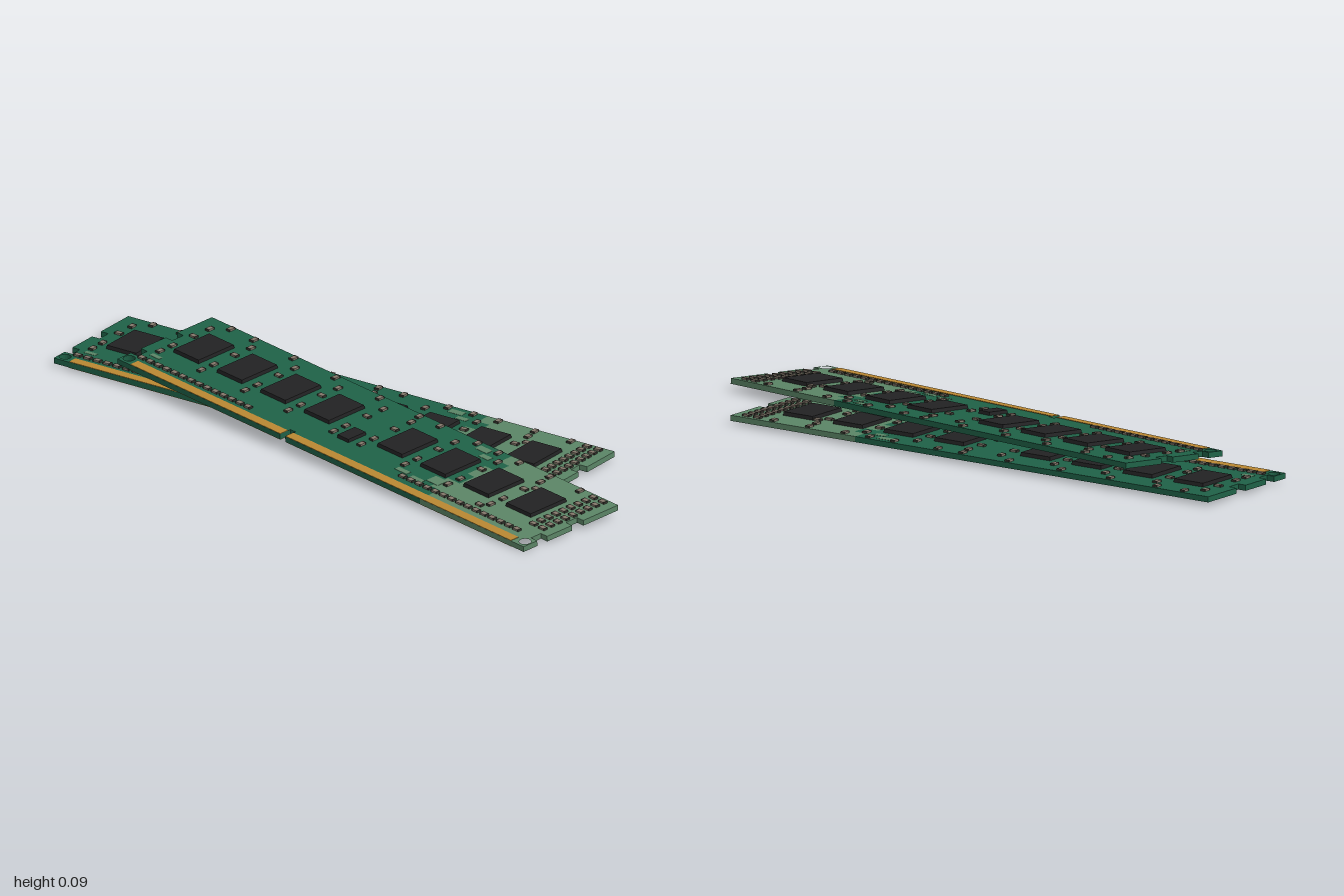
import * as THREE from 'three';
import { mergeGeometries } from 'three/addons/utils/BufferGeometryUtils.js';

const LEN = 1.745, DEP = 0.38, T = 0.017;

const mat = (name, color) => {
  const m = new THREE.MeshStandardMaterial({ color });
  m.name = name;
  return m;
};

// Box centred on (u, v) of the board, rising from height y
const block = (u, v, w, d, h, y = T, taper = 1) => {
  const g = new THREE.BoxGeometry(w, h, d);
  const p = g.attributes.position;
  for (let i = 0; i < p.count; i++) {
    if (p.getY(i) > 0) p.setXYZ(i, p.getX(i) * taper, p.getY(i), p.getZ(i) * taper);
  }
  g.computeVertexNormals();
  return g.translate(u, y + h / 2, v);
};

// Flat slab from an outline in (u, v)
const slab = (points, hole, y = 0, h = T) => {
  const shape = new THREE.Shape(points.map(([u, v]) => new THREE.Vector2(u, v)));
  if (hole) {
    const path = new THREE.Path();
    path.absarc(hole[0], hole[1], 0.018, 0, Math.PI * 2, true);
    shape.holes.push(path);
  }
  const g = new THREE.ExtrudeGeometry(shape, { depth: h, bevelEnabled: false, curveSegments: 10 });
  return g.rotateX(Math.PI / 2).translate(0, y + h, 0);
};

function createStick(name, m) {
  const stick = new THREE.Group();
  stick.name = name;
  const add = (part, geo, material) => {
    const mesh = new THREE.Mesh(Array.isArray(geo) ? mergeGeometries(geo) : geo, material);
    mesh.name = part;
    stick.add(mesh);
  };

  // Board in two greens that meet along a stepped line, with clip notches and holes
  const seam = [[1.29, 0], [1.29, 0.05], [1.33, 0.05], [1.33, 0.1], [1.28, 0.1], [1.28, 0.17],
    [1.31, 0.17], [1.31, 0.23], [1.26, 0.23], [1.26, 0.3], [1.3, 0.3], [1.3, DEP]];
  const side = [[0, DEP], [0, 0.325], [0.027, 0.325], [0.027, 0.285], [0, 0.285],
    [0, 0.185], [0.027, 0.185], [0.027, 0.14], [0, 0.14], [0, 0]];
  const keyNotch = [[0.721, DEP], [0.721, 0.338], [0.699, 0.338], [0.699, DEP]];
  add('boardMain', slab([...seam, ...keyNotch, ...side.slice(0, -1), [0, 0]], [0.022, 0.353]), m.green);
  add('boardEnd', slab([...seam, ...side.map(([u, v]) => [LEN - u, v])], [LEN - 0.022, 0.353]), m.pale);

  // Stray pale patches beside the seam
  add('palePatches', [[1.2, 0.03, 0.05, 0.025], [1.24, 0.06, 0.04, 0.02], [1.25, 0.265, 0.05, 0.04],
    [1.13, 0.29, 0.05, 0.018], [1.2, 0.3, 0.05, 0.02], [0.07, 0.29, 0.04, 0.015]]
    .map(([u, v, w, d]) => block(u, v, w, d, 0.0008)), m.pale);

  // Gold contact strips on both faces, either side of the key notch
  const strips = [];
  for (const [a, b] of [[0.055, 0.699], [0.721, 1.69]]) {
    for (const y of [T, -0.0015]) strips.push(block((a + b) / 2, 0.364, b - a, 0.031, 0.0015, y));
  }
  add('contacts', strips, m.gold);

  // Memory chips on top, flat ones beneath
  const chipU = [0.14, 0.326, 0.513, 0.7, 1.015, 1.2, 1.385, 1.567];
  add('memoryChips', chipU.map(u => block(u, 0.163, 0.108, 0.145, 0.011, T, 0.97)), m.chip);
  add('undersideChips', chipU.map(u => block(u, 0.163, 0.108, 0.145, 0.002, -0.002)), m.chip);
  add('controllerChip', [block(0.859, 0.242, 0.048, 0.072, 0.01, T, 0.96),
    block(0.859, 0.242, 0.048, 0.072, 0.002, -0.002)], m.chip);

  // Small capacitors: a body with two dark ends
  const bodies = [], ends = [];
  const cap = (u, v, upright) => {
    const w = upright ? 0.015 : 0.016, d = 0.015;
    bodies.push(block(u, v, w, d, 0.006));
    for (const s of [-1, 1]) {
      ends.push(upright ? block(u, v + s * 0.01, w, 0.005, 0.006)
        : block(u + s * 0.01, v, 0.005, d, 0.006));
    }
  };
  // rows beside the contacts
  for (let u = 0.05; u < 0.54; u += 0.035) cap(u, 0.327);
  for (let u = 1.16; u < 1.65; u += 0.035) cap(u, 0.318);
  // double column at the end
  for (let v = 0.02; v < 0.27; v += 0.03) {
    cap(1.66, v);
    cap(1.7, v);
  }
  // columns between the chips
  for (const u of [0.055, 0.232, 0.42, 0.606, 0.8, 0.92, 1.107, 1.292, 1.476]) {
    for (const v of [0.06, 0.125, 0.21, 0.26]) cap(u, v, v !== 0.125);
  }
  cap(1.455, 0.285);
  cap(1.5, 0.1);
  // row along the back edge
  for (const u of [0.1, 0.2, 0.37, 0.55, 0.74, 0.91, 1.0, 1.16, 1.25, 1.34, 1.47, 1.6]) cap(u, 0.018, true);
  add('capacitorBodies', bodies, m.cap);
  add('capacitorEnds', ends, m.capEnd);
  return stick;
}

export function createModel() {
  const m = {
    green: mat('boardGreen', 0x1f6147),
    pale: mat('paleGreen', 0x5b8566),
    gold: mat('contactGold', 0xb98732),
    chip: mat('chipBlack', 0x222223),
    cap: mat('capacitorTan', 0x83776a),
    capEnd: mat('capacitorDark', 0x37352f),
  };
  const model = new THREE.Group();
  model.name = 'memorySticks';

  const lower = createStick('lowerStick', m);
  lower.position.set(-1, 0.012, -0.35);

  // Upper stick lies askew across the lower one
  const upper = createStick('upperStick', m);
  const x = new THREE.Vector3(1.705, -0.052, 0.355).normalize();
  const y = new THREE.Vector3(-0.08, -0.022, 0.375).cross(x).normalize();
  const z = new THREE.Vector3().crossVectors(x, y);
  upper.quaternion.setFromRotationMatrix(new THREE.Matrix4().makeBasis(x, y, z));
  upper.position.set(-0.71, 0.0755, -0.365);

  model.add(lower, upper);
  return model;
}
